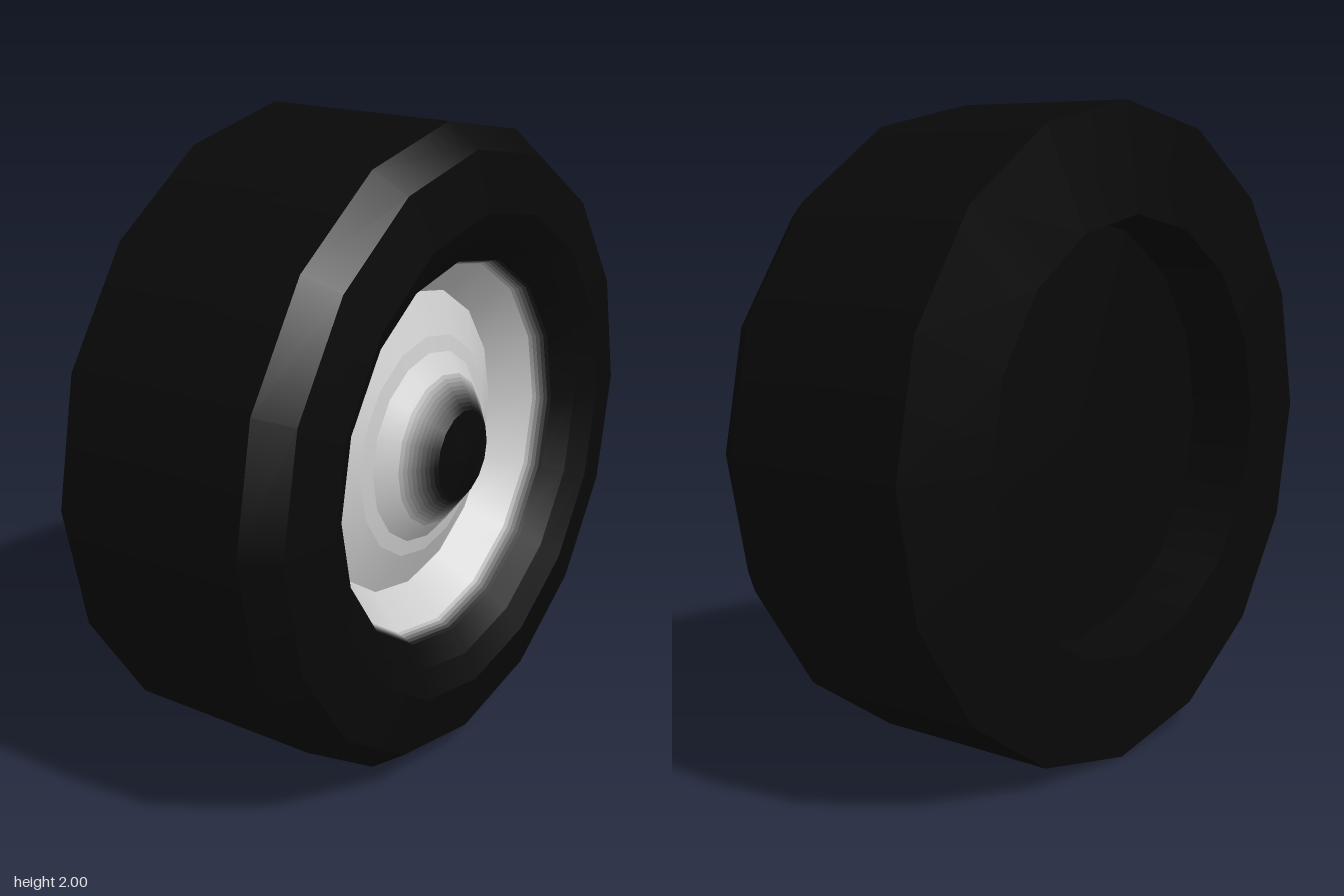
import * as THREE from 'three';

const SIDES = 16;
const DARK = 0x08;
const GREY = 0xcc;

// Turned surface about the x axis; each run is [radius, x] from back to front,
// separate runs keep a sharp crease between them.
function turned(name, color, runs) {
  const group = new THREE.Group();
  group.name = name;
  const material = new THREE.MeshStandardMaterial({ color });
  runs.forEach((run, i) => {
    const geometry = new THREE.LatheGeometry(run.map(([r, x]) => new THREE.Vector2(r, x)), SIDES);
    geometry.rotateZ(-Math.PI / 2);
    const mesh = new THREE.Mesh(geometry, material);
    mesh.name = `${name}Surface${i + 1}`;
    group.add(mesh);
  });
  return group;
}

// Straight turned band split into rings that fade between two grey levels
function fadedBand(name, [r0, x0], [r1, x1], level0, level1, count) {
  const group = new THREE.Group();
  group.name = name;
  const point = (t) => [r0 + (r1 - r0) * t, x0 + (x1 - x0) * t];
  for (let i = 0; i < count; i++) {
    const level = Math.round(level0 + ((level1 - level0) * (i + 0.5)) / count);
    group.add(turned(`${name}Ring${i + 1}`, level * 0x010101, [[point(i / count), point((i + 1) / count)]]));
  }
  return group;
}

export function createModel() {
  const wheel = new THREE.Group();
  wheel.name = 'wheel';

  // Tyre: back recess, side wall, tread, shoulder and front side wall
  wheel.add(turned('tyre', DARK * 0x010101, [
    [[0, -0.18], [0.66, -0.18]],
    [[0.66, -0.18], [0.67, -0.4]],
    [[0.67, -0.4], [1, -0.36]],
    [[1, -0.36], [1, 0.265]],
    [[1, 0.265], [0.93, 0.365]],
    [[0.93, 0.365], [0.75, 0.4]],
    [[0.75, 0.4], [0.67, 0.36]],
    [[0.67, 0.36], [0.6, 0.31]],
  ]));

  // Rim: lip fading from dark, sloping wall, raised dish and nearly flat ledge
  wheel.add(fadedBand('rimLip', [0.6, 0.31], [0.58, 0.25], DARK, GREY, 5));
  wheel.add(turned('rim', GREY * 0x010101, [
    [[0.58, 0.25], [0.48, 0.14]],
    [[0.48, 0.14], [0.35, 0.2]],
    [[0.35, 0.2], [0.3, 0.21]],
  ]));

  // Hub: cone fading from light to dark, closed by a dark cap
  const hub = new THREE.Group();
  hub.name = 'hub';
  hub.add(turned('hubBase', GREY * 0x010101, [[[0.3, 0.21], [0.25, 0.25]]]));
  hub.add(fadedBand('hubCone', [0.25, 0.25], [0.14, 0.335], GREY, DARK, 10));
  hub.add(turned('hubCap', DARK * 0x010101, [[[0.14, 0.335], [0, 0.36]]]));
  wheel.add(hub);

  wheel.position.y = 1;
  const model = new THREE.Group();
  model.name = 'wheelModel';
  model.add(wheel);
  return model;
}
